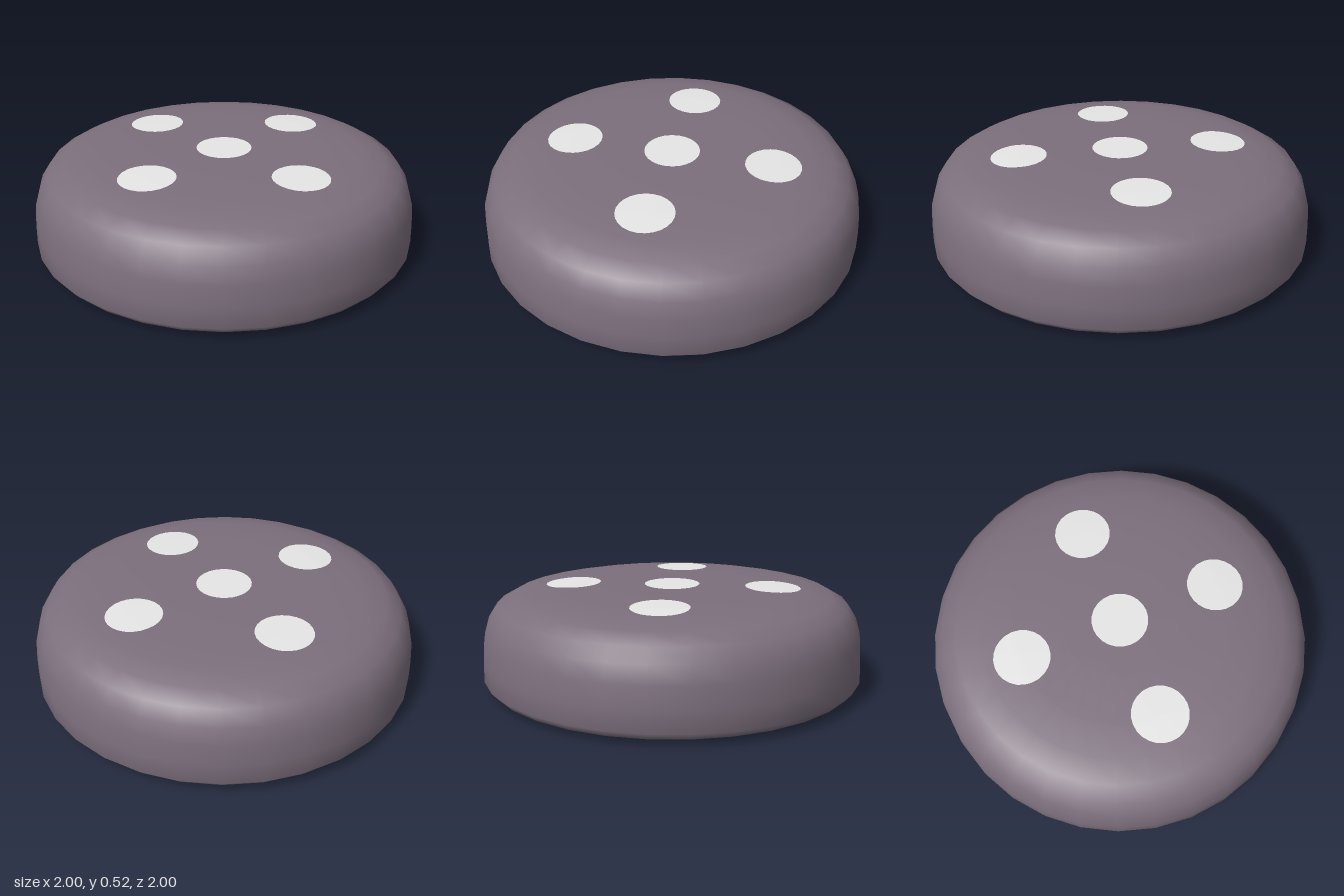
import * as THREE from 'three';

// Half cross-section of the body, from bottom centre to top centre: [radius, y]
const PROFILE = [
  [0, 0], [0.8, 0], [0.89, 0.008], [0.97, 0.03], [1, 0.065], [0.998, 0.17],
  [0.99, 0.28], [0.965, 0.365], [0.92, 0.435], [0.84, 0.48], [0.72, 0.505],
  [0.55, 0.515], [0.3, 0.52], [0, 0.52],
];
const TOP_START = 9;

// Height of the domed top at a given distance from the centre
function topHeight(r) {
  for (let i = TOP_START; i < PROFILE.length - 1; i++) {
    const [r0, y0] = PROFILE[i];
    const [r1, y1] = PROFILE[i + 1];
    if (r >= r1) return y1 + ((y0 - y1) * (r - r1)) / (r0 - r1);
  }
  return 0.52;
}

// Thin round spot that follows the dome
function makeSpot(x, z, material) {
  const geometry = new THREE.RingGeometry(0, 0.145, 24, 4);
  geometry.rotateX(-Math.PI / 2).translate(x, 0, z);
  const p = geometry.attributes.position;
  for (let i = 0; i < p.count; i++) {
    p.setY(i, topHeight(Math.hypot(p.getX(i), p.getZ(i))) + 0.003);
  }
  geometry.computeVertexNormals();
  return new THREE.Mesh(geometry, material);
}

export function createModel() {
  const group = new THREE.Group();
  group.name = 'spottedDisc';

  const mauve = new THREE.MeshStandardMaterial({ color: 0x7c6f7d });
  mauve.name = 'mauve';
  const paleGrey = new THREE.MeshStandardMaterial({ color: 0xe6e6e6 });
  paleGrey.name = 'paleGrey';

  // Rounded disc body
  const points = PROFILE.map(([r, y]) => new THREE.Vector2(r, y));
  const body = new THREE.Mesh(new THREE.LatheGeometry(points, 32), mauve);
  body.name = 'body';
  group.add(body);

  // Five spots: one in the centre and four around it
  const spots = new THREE.Group();
  spots.name = 'spots';
  const d = 0.375;
  [[0, 0], [d, d], [-d, d], [d, -d], [-d, -d]].forEach(([x, z], i) => {
    const spot = makeSpot(x, z, paleGrey);
    spot.name = i === 0 ? 'centreSpot' : `outerSpot${i}`;
    spots.add(spot);
  });
  group.add(spots);

  return group;
}
